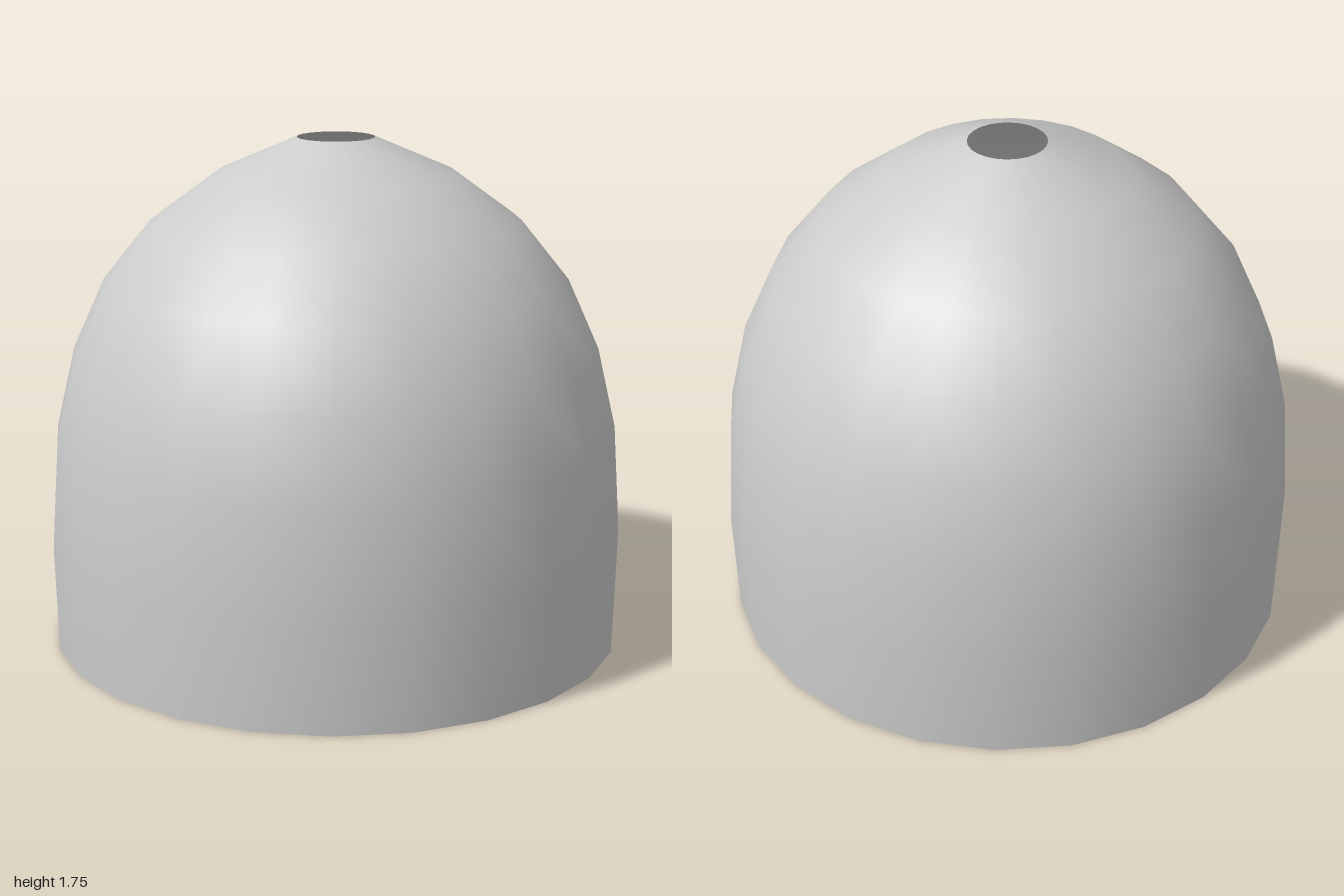
import * as THREE from 'three';

export function createModel() {
  const group = new THREE.Group();
  group.name = 'domeShade';

  // Thin open shell: wide rim at the bottom, small round opening at the top
  const profile = [
    [0.99, 0], [1, 0.37], [0.975, 0.74], [0.91, 1.02],
    [0.8, 1.265], [0.635, 1.47], [0.41, 1.635], [0.133, 1.755],
  ].map(([r, y]) => new THREE.Vector2(r, y));

  const shell = new THREE.Mesh(
    new THREE.LatheGeometry(profile, 24),
    new THREE.MeshStandardMaterial({ color: 0xcccccc, side: THREE.DoubleSide })
  );
  shell.name = 'shell';
  group.add(shell);
  return group;
}
